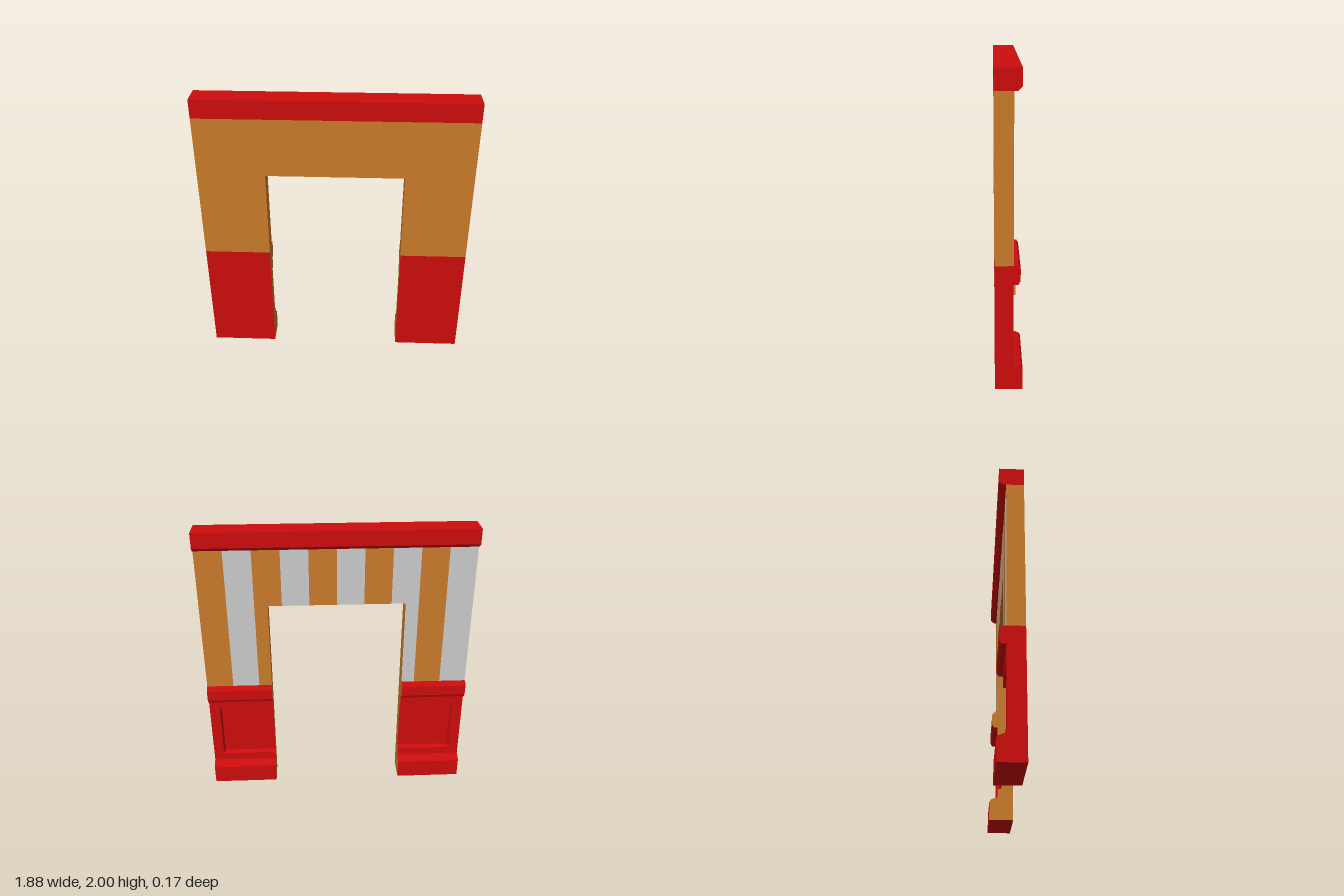
import * as THREE from 'three';

const RED = 0xcc0c0c, ORANGE = 0xc87a2a, GREY = 0xcccccc;
const W = 0.94, DOOR = 0.473, DOOR_TOP = 1.46, RAIL_TOP = 0.83, CROWN = 1.87;
const FRONT = 0.087, BACK = -0.029, RECESS = 0.002;

const materials = {};
function mesh(name, geometry, color) {
  materials[color] ??= new THREE.MeshStandardMaterial({ color, flatShading: true });
  const m = new THREE.Mesh(geometry, materials[color]);
  m.name = name;
  return m;
}

// Unindexed geometry from a flat list of triangle corners
function fromCorners(corners) {
  const g = new THREE.BufferGeometry();
  g.setAttribute('position', new THREE.Float32BufferAttribute(corners.flat(), 3));
  g.computeVertexNormals();
  return g;
}

const quad = (a, b, c, d) => fromCorners([a, b, c, a, c, d]);

// Mirror across x = 0, keeping faces turned outwards
function mirrored(geometry) {
  const p = geometry.index ? geometry.toNonIndexed().attributes.position : geometry.attributes.position;
  const corners = [];
  for (let i = 0; i < p.count; i += 3)
    for (const k of [i, i + 2, i + 1]) corners.push([-p.getX(k), p.getY(k), p.getZ(k)]);
  return fromCorners(corners);
}

// Flat end face at x, facing along dir, from [z, y] points
function cap(points, x, dir) {
  const shape = new THREE.Shape(points.map(([z, y]) => new THREE.Vector2(-dir * z, y)));
  return new THREE.ShapeGeometry(shape).rotateY(dir * Math.PI / 2).translate(x, 0, 0);
}

// Skin between [z, y] outlines placed at increasing x
function loft(sections) {
  const corners = [];
  for (let i = 0; i < sections.length - 1; i++) {
    const A = sections[i], B = sections[i + 1];
    for (let j = 0; j < A.points.length - 1; j++) {
      const at = (s, k) => [s.x, s.points[k][1], s.points[k][0]];
      const a = at(A, j), b = at(A, j + 1), c = at(B, j + 1), d = at(B, j);
      corners.push(a, b, c, a, c, d);
    }
  }
  return fromCorners(corners);
}

// Outline of skirting, panel and chair rail; panelZ is the depth of the panel
const wainscot = (panelZ) => [
  [FRONT, RAIL_TOP], [FRONT, 0],
  [-0.087, 0], [-0.087, 0.135], [-0.078, 0.15], [-0.05, 0.162], [BACK, 0.167],
  [BACK, 0.225], [panelZ, 0.235], [panelZ, 0.625], [BACK, 0.635],
  [BACK, 0.71], [-0.058, 0.71], [-0.071, 0.735], [-0.071, 0.81], [-0.06, RAIL_TOP], [BACK, RAIL_TOP],
];

export function createModel() {
  const model = new THREE.Group();
  const addPair = (name, geometry, color) => {
    model.add(mesh('left' + name, geometry, color), mesh('right' + name, mirrored(geometry), color));
  };

  // Lower piers: the panel recess runs out at the doorway
  const plain = wainscot(BACK), recessed = wainscot(RECESS);
  addPair('Wainscot', loft([
    { x: DOOR, points: recessed }, { x: 0.857, points: recessed },
    { x: 0.867, points: plain }, { x: W, points: plain },
  ]), RED);
  addPair('WainscotEnd', cap(plain, W, 1), RED);
  addPair('LowerJamb', cap(recessed, DOOR, -1), ORANGE);

  // Upper wall: sides, jambs and doorway soffit
  const upright = (y0, y1) => [[FRONT, y0], [FRONT, y1], [BACK, y1], [BACK, y0]];
  addPair('WallEnd', cap(upright(RAIL_TOP, CROWN), W, 1), ORANGE);
  addPair('UpperJamb', cap(upright(RAIL_TOP, DOOR_TOP), DOOR, -1), ORANGE);
  model.add(mesh('doorwaySoffit', quad(
    [-DOOR, DOOR_TOP, BACK], [DOOR, DOOR_TOP, BACK],
    [DOOR, DOOR_TOP, FRONT], [-DOOR, DOOR_TOP, FRONT]), ORANGE));

  // Plain front of the upper wall
  const face = new THREE.Shape([
    [-W, RAIL_TOP], [-DOOR, RAIL_TOP], [-DOOR, DOOR_TOP], [DOOR, DOOR_TOP],
    [DOOR, RAIL_TOP], [W, RAIL_TOP], [W, CROWN], [-W, CROWN],
  ].map(([x, y]) => new THREE.Vector2(x, y)));
  model.add(mesh('frontWall', new THREE.ShapeGeometry(face).translate(0, 0, FRONT), ORANGE));

  // Striped back of the upper wall, cut at the doorway
  const count = 10, step = 2 * W / count;
  for (let i = 0; i < count; i++) {
    const hi = W - i * step, lo = hi - step;
    const cuts = [hi, ...[DOOR, -DOOR].filter((x) => x < hi && x > lo), lo];
    for (let k = 0; k < cuts.length - 1; k++) {
      const a = cuts[k], b = cuts[k + 1];
      const y = Math.abs((a + b) / 2) < DOOR ? DOOR_TOP : RAIL_TOP;
      model.add(mesh('wallStripe', quad(
        [a, y, BACK], [b, y, BACK], [b, CROWN, BACK], [a, CROWN, BACK]), i % 2 ? GREY : ORANGE));
    }
  }

  // Crown moulding with a chamfered lower edge
  const crown = [[FRONT, 2], [FRONT, CROWN], [-0.05, CROWN], [-0.076, 1.895], [-0.076, 2]];
  const loop = [...crown, crown[0]];
  model.add(mesh('crownMoulding', loft([{ x: -W, points: loop }, { x: W, points: loop }]), RED));
  addPair('CrownEnd', cap(crown, W, 1), RED);

  return model;
}
